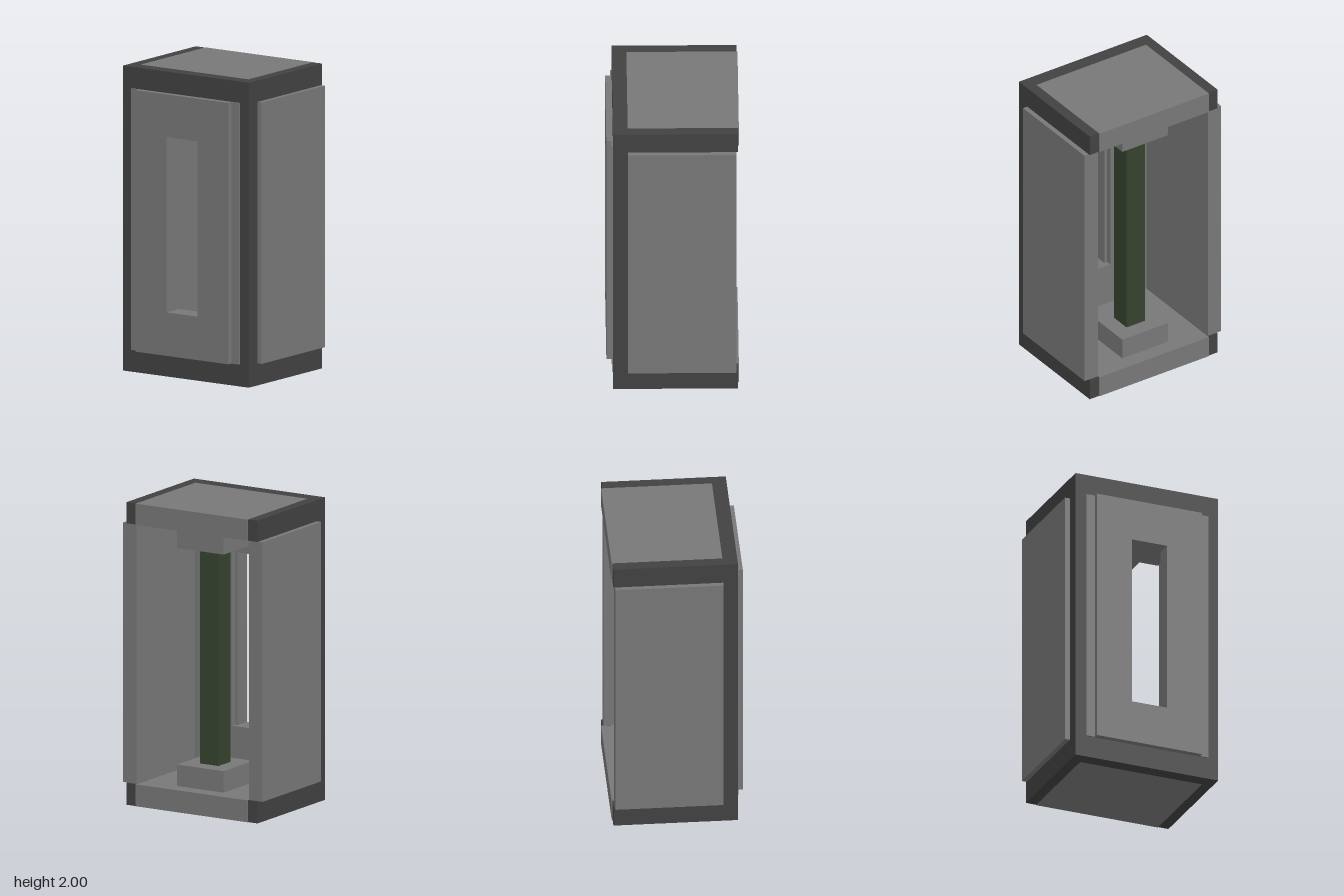
import * as THREE from 'three';

const mat = (name, color) => {
  const m = new THREE.MeshStandardMaterial({ color });
  m.name = name;
  return m;
};

export function createModel() {
  const grey = mat('panel grey', 0x777777);
  const dark = mat('frame dark grey', 0x414141);
  const green = mat('post dark green', 0x35422d);

  const root = new THREE.Group();
  root.name = 'openCabinet';

  // Box given by its extents along each axis
  const box = (name, material, [x0, x1], [y0, y1], [z0, z1]) => {
    const mesh = new THREE.Mesh(new THREE.BoxGeometry(x1 - x0, y1 - y0, z1 - z0), material);
    mesh.position.set((x0 + x1) / 2, (y0 + y1) / 2, (z0 + z1) / 2);
    mesh.name = name;
    root.add(mesh);
  };

  // Upright wall facing -x with a tall slot cut through it
  const slottedWall = (name, [x0, x1], halfWidth, slotHalf) => {
    const rect = (P, w, y0, y1) => {
      const p = new P();
      p.moveTo(-w, y0).lineTo(w, y0).lineTo(w, y1).lineTo(-w, y1).closePath();
      return p;
    };
    const shape = rect(THREE.Shape, halfWidth, 0.145, 1.86);
    shape.holes.push(rect(THREE.Path, slotHalf, 0.43, 1.58));
    const geo = new THREE.ExtrudeGeometry(shape, { depth: x1 - x0, bevelEnabled: false });
    geo.rotateY(Math.PI / 2);
    const mesh = new THREE.Mesh(geo, grey);
    mesh.position.x = x0;
    mesh.name = name;
    root.add(mesh);
  };

  // Floor and roof: grey slab, dark rails around three sides, inner mounting pad
  const levels = [
    ['bottom', [0, 0.145], [0.145, 0.287]],
    ['top', [1.86, 2], [1.718, 1.86]],
  ];
  for (const [level, y, padY] of levels) {
    box(`${level}Slab`, grey, [-0.29, 0.426], y, [-0.428, 0.428]);
    box(`${level}BackRail`, dark, [-0.385, -0.29], y, [-0.428, 0.428]);
    box(`${level}Pad`, grey, [-0.033, 0.322], padY, [-0.178, 0.178]);
    box(`${level}LeftRail`, dark, [-0.385, 0.42], y, [0.428, 0.5]);
    box(`${level}RightRail`, dark, [-0.385, 0.42], y, [-0.5, -0.428]);
  }

  // Corner posts and side panels, mirrored in z
  for (const [side, s] of [['front', 1], ['rear', -1]]) {
    const span = (a, b) => (s > 0 ? [a, b] : [-b, -a]);
    box(`${side}CornerPost`, dark, [-0.385, -0.29], [0.145, 1.86], span(0.428, 0.5));
    box(`${side}Panel`, grey, [-0.29, 0.41], [0.145, 1.86], span(0.43, 0.533));
  }

  // Double closed wall with a slot through both layers
  slottedWall('innerWall', [-0.395, -0.285], 0.428, 0.145);
  slottedWall('outerWallPlate', [-0.427, -0.32], 0.368, 0.123);

  // Central post between the pads
  box('centrePost', green, [0.073, 0.215], [0.287, 1.718], [-0.071, 0.071]);

  return root;
}
